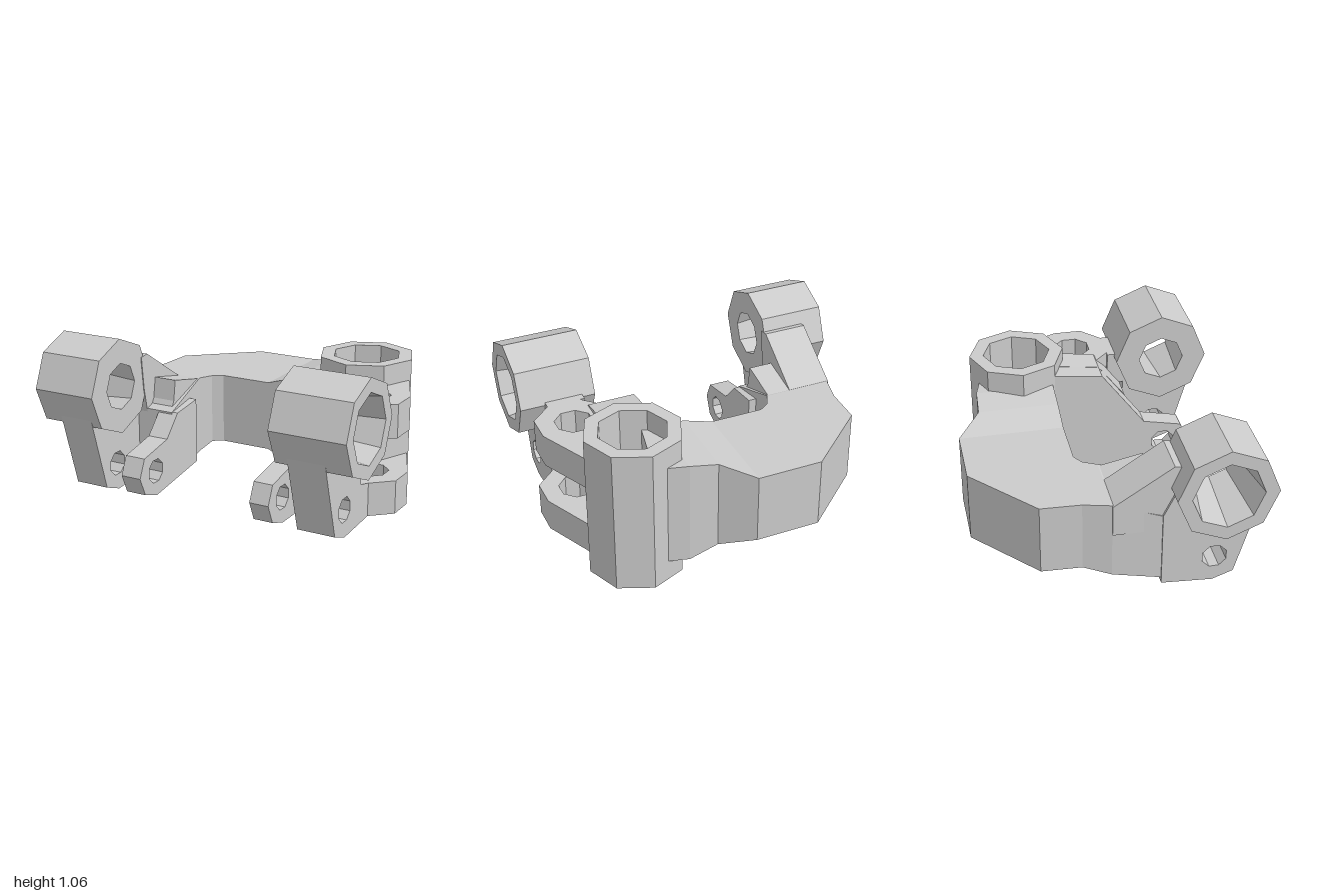
import * as THREE from 'three';

const mat = new THREE.MeshStandardMaterial({ color: 0xcccccc, flatShading: true });
const PIN = [0.505, 0.28, 0.075]; // z, y, radius of the lower pin holes

function ngon(cx, cy, r, phase = Math.PI / 8) {
  return Array.from({ length: 8 }, (_, i) => {
    const a = phase + (i * Math.PI) / 4;
    return new THREE.Vector2(cx + r * Math.cos(a), cy + r * Math.sin(a));
  });
}

function extrude(points, hole, depth) {
  const shape = new THREE.Shape(points);
  if (hole) shape.holes.push(new THREE.Path(hole));
  return new THREE.ExtrudeGeometry(shape, { depth, bevelEnabled: false });
}

// Side profile of [z, y] points, spanning x0 to x1
function slab(profile, x0, x1, hole) {
  const pts = profile.map(([z, y]) => new THREE.Vector2(-z, y));
  const geo = extrude(pts, hole && ngon(-hole[0], hole[1], hole[2]), x1 - x0);
  return geo.rotateY(Math.PI / 2).translate(x0, 0, 0);
}

// Plan outline of [x, z] points, spanning y0 to y1
function plate(outline, y0, y1, hole) {
  const pts = outline.map(([x, z]) => new THREE.Vector2(x, -z));
  const geo = extrude(pts, hole && ngon(hole[0], -hole[1], hole[2]), y1 - y0);
  return geo.rotateX(-Math.PI / 2).translate(0, y0, 0);
}

// Eight-sided tube along y, with its bore going from r0 at the bottom to r1 at the top
function tube(outer, r0, r1, h) {
  const pts = [[r0, 0], [outer, 0], [outer, h], [r1, h], [r0, 0]];
  return new THREE.LatheGeometry(pts.map(([x, y]) => new THREE.Vector2(x, y)), 8);
}

// Loft of upright rectangles: [outerX, outerZ, innerX, innerZ, bottom, top]
function loft(sections) {
  const pos = [];
  const idx = [];
  sections.forEach(([ox, oz, ix, iz, b, t]) => pos.push(ox, b, oz, ox, t, oz, ix, t, iz, ix, b, iz));
  for (let s = 0; s < sections.length - 1; s++) {
    for (let k = 0; k < 4; k++) {
      const a = s * 4 + k, b = s * 4 + ((k + 1) % 4);
      idx.push(a, b, a + 4, b, b + 4, a + 4);
    }
  }
  const e = (sections.length - 1) * 4;
  idx.push(0, 2, 1, 0, 3, 2, e, e + 1, e + 2, e, e + 2, e + 3);
  const geo = new THREE.BufferGeometry();
  geo.setAttribute('position', new THREE.Float32BufferAttribute(pos, 3));
  geo.setIndex(idx);
  geo.computeVertexNormals();
  return geo;
}

export function createModel() {
  const group = new THREE.Group();
  const add = (name, geo) => {
    const mesh = new THREE.Mesh(geo, mat);
    mesh.name = name;
    group.add(mesh);
    return mesh;
  };

  // Curved yoke from the right arm round the back to the upright sleeve
  add('yoke', loft([
    [-0.87, 0.27, -0.42, 0.27, 0.155, 0.57],
    [-0.85, -0.08, -0.44, -0.08, 0.22, 0.695],
    [-0.81, -0.24, -0.4, -0.16, 0.265, 0.695],
    [-0.8, -0.475, -0.34, -0.2, 0.265, 0.695],
    [-0.41, -0.82, -0.3, -0.2, 0.265, 0.695],
    [-0.02, -0.82, -0.02, -0.2, 0.265, 0.695],
    [0.16, -0.68, 0.16, -0.2, 0.19, 0.75],
    [0.33, -0.67, 0.33, -0.2, 0.13, 0.78],
    [0.52, -0.62, 0.43, -0.2, 0.13, 0.78],
  ]));

  // Upright sleeve
  add('uprightSleeve', tube(0.29, 0.205, 0.205, 0.912).translate(0.55, 0, -0.39));

  // Hinge barrels, bores narrowing towards the middle
  add('leftBarrel', tube(0.287, 0.14, 0.205, 0.46).rotateZ(-Math.PI / 2).translate(0.54, 0.775, 0.53));
  add('rightBarrel', tube(0.287, 0.205, 0.14, 0.4).rotateZ(-Math.PI / 2).translate(-1, 0.775, 0.53));

  // Outer cheeks carrying the barrels; the top edge follows the barrel wall
  const cheek = [[0.2, 0.135], [0.5, 0.115], [0.62, 0.16], [0.775, 0.7], [0.775, 0.775],
    [0.703, 0.602], [0.53, 0.53], [0.357, 0.602], [0.285, 0.775]];
  add('rightCheek', slab([...cheek, [0.2, 0.6]], -0.875, -0.66, PIN));
  add('leftCheek', slab([...cheek, [0.25, 0.79], [0.2, 0.79], [0.2, 0.59],
    [0.3, 0.585], [0.3, 0.36], [0.2, 0.335]], 0.62, 0.85, PIN));

  // Inner pin lugs
  const lugEnd = [[0.38, 0.44], [0.62, 0.39], [0.67, 0.28], [0.62, 0.165], [0.5, 0.125]];
  add('leftLug', slab([[-0.19, 0.835], [0.11, 0.8], ...lugEnd, [-0.19, 0.135]], 0.345, 0.465, PIN));
  add('rightLug', slab([[0.05, 0.6], [0.26, 0.57], ...lugEnd, [0.05, 0.2]], -0.515, -0.385, PIN));

  // Web behind the left fork
  add('leftWeb', slab([[-0.15, 0.835], [0.11, 0.8], [0.28, 0.58], [0.28, 0.135], [-0.15, 0.135]], 0.46, 0.63));

  // Ramps up to the right barrel
  add('rightRamp', slab([[-0.08, 0.69], [0.26, 0.91], [0.32, 0.9], [0.3, 0.7], [0.26, 0.5], [-0.08, 0.5]], -0.86, -0.595));
  add('rightStep', slab([[-0.08, 0.69], [0.18, 0.745], [0.2, 0.62], [0.265, 0.5], [-0.08, 0.5]], -0.6, -0.45));

  // Pair of flat ears beside the sleeve
  const ear = [[0.83, -0.385], [0.97, -0.08], [0.97, 0.09], [0.85, 0.2], [0.85, 0.25], [0.65, 0.25],
    [0.65, 0.2], [0.55, 0.1], [0.55, -0.14], [0.73, -0.2]];
  [[0.59, 0.79, 'upperEar'], [0.135, 0.335, 'lowerEar']].forEach(([y0, y1, name]) =>
    add(name, plate(ear, y0, y1, [0.76, -0.005, 0.114])));

  return group;
}
